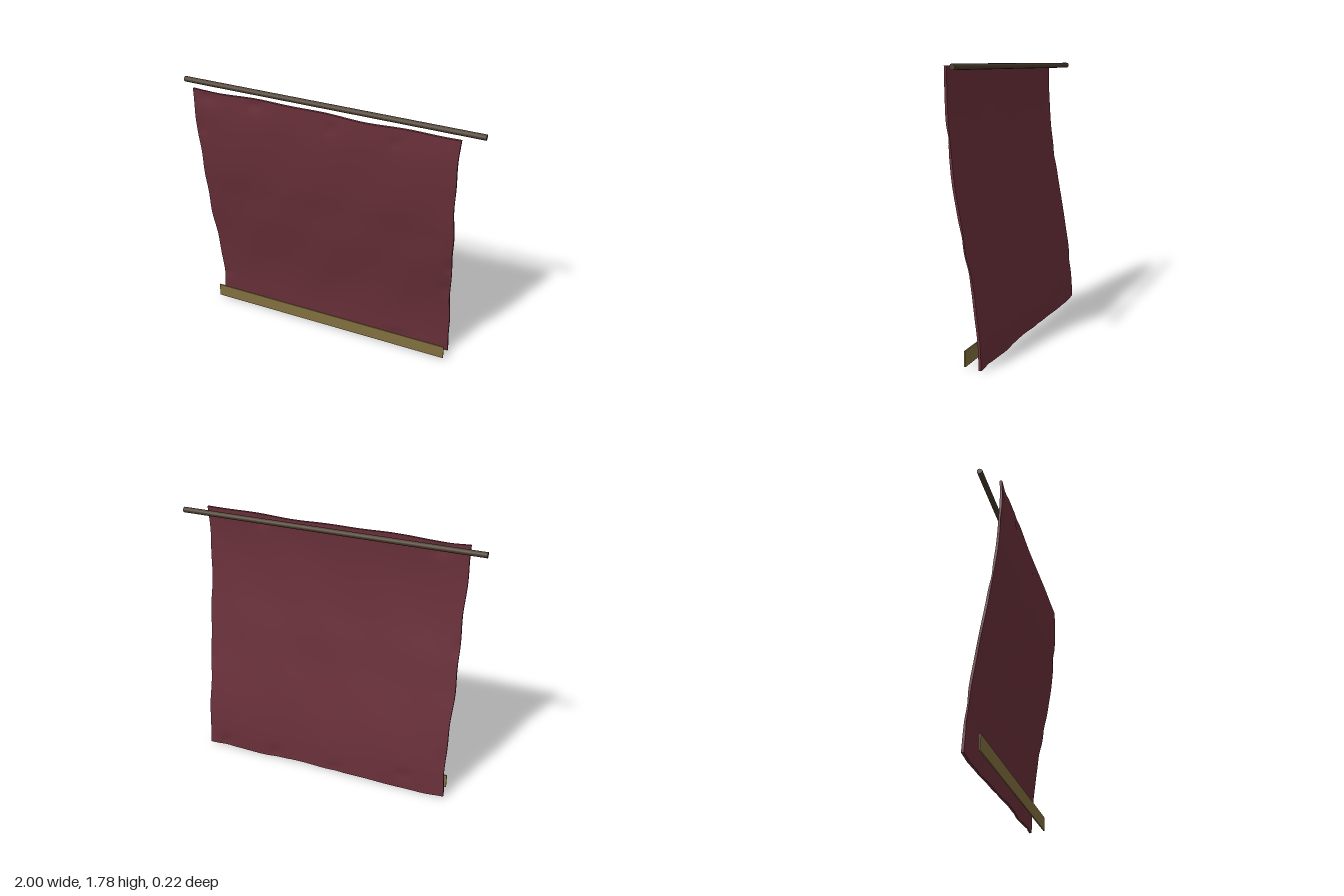
import * as THREE from 'three';

// Worn hanging cloth with a rod above and a trim band below
export function createModel() {
  const group = new THREE.Group();
  const cloth = new THREE.MeshStandardMaterial({ name: 'wine cloth', color: 0x6a303a });
  const trim = new THREE.MeshStandardMaterial({ name: 'dull gold trim', color: 0x83703f });
  const wood = new THREE.MeshStandardMaterial({ name: 'dark wood', color: 0x4b3c2d });
  const add = (name, geometry, material, x, y, z) => {
    const mesh = new THREE.Mesh(geometry, material);
    mesh.name = name;
    mesh.position.set(x, y, z);
    group.add(mesh);
    return mesh;
  };

  // Hanging curve of the cloth: [y, z] from bottom to top
  const sway = [[0, -0.098], [0.2, -0.088], [0.4, -0.063], [0.6, -0.029], [0.8, 0.007], [1, 0.038],
    [1.2, 0.07], [1.4, 0.092], [1.6, 0.102], [1.78, 0.1]];
  const curveZ = (y) => {
    let i = 0;
    while (i < sway.length - 2 && y > sway[i + 1][0]) i++;
    const at = (k) => sway[Math.min(Math.max(k, 0), sway.length - 1)];
    const [a, b] = [at(i), at(i + 1)], h = b[0] - a[0];
    const slope = (k) => (at(k + 1)[1] - at(k - 1)[1]) / (at(k + 1)[0] - at(k - 1)[0]);
    const t = (y - a[0]) / h, t2 = t * t, t3 = t2 * t;
    return (2 * t3 - 3 * t2 + 1) * a[1] + (t3 - 2 * t2 + t) * h * slope(i)
      + (3 * t2 - 2 * t3) * b[1] + (t3 - t2) * h * slope(i + 1);
  };

  // Small dents near the hem: [x, y, width, height, depth]
  const frontDents = [[-0.77, 1.74, 0.07, 0.05, 0.012], [-0.44, 1.74, 0.05, 0.04, 0.01],
    [0.07, 1.68, 0.03, 0.04, 0.006], [0.49, 1.68, 0.03, 0.03, 0.005], [-0.84, 1.5, 0.04, 0.05, 0.007],
    [0.87, 1.37, 0.03, 0.06, 0.009], [0.86, 0.8, 0.04, 0.06, 0.008], [0.85, 0.6, 0.04, 0.06, 0.007],
    [-0.84, 0.2, 0.04, 0.04, 0.006], [-0.5, 0.04, 0.06, 0.04, 0.008], [0.5, 0.04, 0.08, 0.04, 0.01]];
  const backDents = [[0.76, 0.05, 0.04, 0.05, 0.01], [0.36, 0.05, 0.05, 0.05, 0.009],
    [-0.1, 0.04, 0.06, 0.04, 0.009], [-0.6, 0.12, 0.05, 0.04, 0.008], [-0.86, 0.3, 0.03, 0.06, 0.007],
    [0.87, 0.7, 0.03, 0.07, 0.007], [-0.87, 1.1, 0.03, 0.06, 0.007], [-0.7, 1.72, 0.06, 0.04, 0.008],
    [0.5, 1.72, 0.04, 0.04, 0.006]];
  const dent = (list, x, y) => list.reduce((sum, [cx, cy, w, h, d]) =>
    sum + d * Math.exp(-(((x - cx) / w) ** 2) - ((y - cy) / h) ** 2), 0);

  // Thin slab bent along the curve, with wavy edges
  const sheet = new THREE.BoxGeometry(1.75, 1.762, 0.016, 80, 80, 1);
  const p = sheet.attributes.position;
  for (let i = 0; i < p.count; i++) {
    const u = p.getX(i) / 0.875, v = p.getY(i) / 0.881, front = p.getZ(i) > 0;
    let x = p.getX(i), y = p.getY(i) + 0.896;
    x += Math.abs(u) ** 8 * (0.004 * Math.sin(y * 7 + u) + 0.003 * Math.sin(y * 17 + u * 2));
    y += Math.abs(v) ** 8 * (0.004 * Math.sin(x * 6 + 2.2 + v) + 0.003 * Math.sin(x * 13 + v));
    if (v < 0) y -= 0.011 * Math.abs(v) ** 8 * Math.exp(-(((x + 0.75) / 0.1) ** 2));
    const ripple = 0.0025 * Math.sin(x * 5 + y * 3) + 0.0015 * Math.sin(x * 11 - y * 8);
    const shift = front ? -dent(frontDents, x, y) : dent(backDents, x, y);
    p.setXYZ(i, x, y, curveZ(y) + p.getZ(i) + ripple + shift);
  }
  sheet.computeVertexNormals();
  add('cloth', sheet, cloth, 0, 0, 0);

  // Rod and bottom band
  const rod = add('rod', new THREE.CylinderGeometry(0.018, 0.018, 2, 12), wood, 0, 1.774, 0);
  rod.rotation.z = Math.PI / 2;
  add('bottomTrim', new THREE.BoxGeometry(1.75, 0.098, 0.009), trim, 0, 0.071, 0);
  return group;
}
